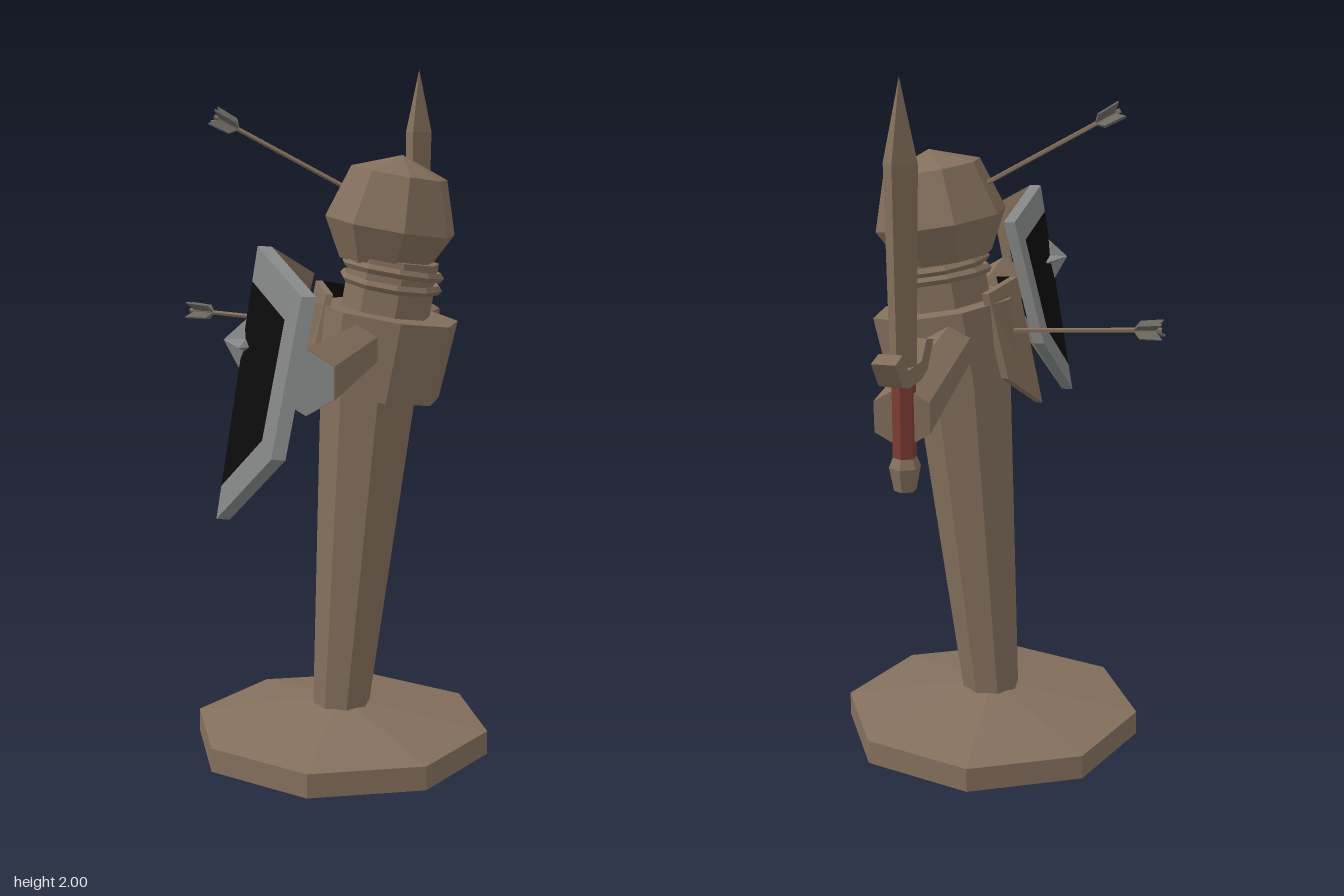
import * as THREE from 'three';

const V = (x, y, z) => new THREE.Vector3(x, y, z);
const TILT = -0.17;

function material(name, color) {
  const m = new THREE.MeshStandardMaterial({ color });
  m.name = name;
  return m;
}

// Faceted mesh
function flat(name, geometry, mat) {
  const g = geometry.index ? geometry.toNonIndexed() : geometry;
  g.computeVertexNormals();
  const mesh = new THREE.Mesh(g, mat);
  mesh.name = name;
  return mesh;
}

function lathe(name, points, sides, mat) {
  return flat(name, new THREE.LatheGeometry(points.map(p => new THREE.Vector2(...p)), sides), mat);
}

// Tapered prism between two points
function rod(name, a, b, ra, rb, sides, mat, spin = 0) {
  const g = new THREE.CylinderGeometry(rb, ra, a.distanceTo(b), sides);
  g.rotateY(spin);
  const mesh = flat(name, g, mat);
  mesh.position.copy(a).lerp(b, 0.5);
  mesh.quaternion.setFromUnitVectors(V(0, 1, 0), b.clone().sub(a).normalize());
  return mesh;
}

// Convex faces, each split into a fan
function polygons(name, faces, mat) {
  const pts = [];
  for (const f of faces)
    for (let i = 1; i < f.length - 1; i++) pts.push(f[0], f[i], f[i + 1]);
  return flat(name, new THREE.BufferGeometry().setFromPoints(pts), mat);
}

// Six-cornered plate folded along its upright middle, facing -x
function foldedPlate(name, outer, thick, inset, mats) {
  const group = new THREE.Group();
  group.name = name;
  const centre = outer[0].clone().lerp(outer[3], 0.5);
  const inner = outer.map(p => p.clone().lerp(centre, inset));
  const back = p => p.clone().add(V(thick, 0, 0));
  const backFace = f => f.map(back).reverse();
  const rim = [], edge = [];
  for (let i = 0; i < 6; i++) {
    const j = (i + 1) % 6;
    rim.push([outer[i], outer[j], inner[j], inner[i]]);
    edge.push([outer[j], outer[i], back(outer[i]), back(outer[j])]);
  }
  const panel = [[0, 1, 2, 3], [0, 3, 4, 5]].map(f => f.map(i => inner[i]));
  group.add(
    polygons(name + 'Rim', rim, mats.rim),
    polygons(name + 'Panel', panel, mats.panel),
    polygons(name + 'Edge', edge, mats.edge),
    polygons(name + 'BackRim', rim.map(backFace), mats.backRim),
    polygons(name + 'BackPanel', panel.map(backFace), mats.backPanel));
  return group;
}

function extruded(name, points, depth, mat) {
  const shape = new THREE.Shape(points.map(p => new THREE.Vector2(...p)));
  const g = new THREE.ExtrudeGeometry(shape, { depth, bevelEnabled: false });
  g.translate(0, 0, -depth / 2);
  return flat(name, g, mat);
}

// Arrow with two crossed feather plates at the tail
function arrow(tip, tail, wood, feather) {
  const group = new THREE.Group();
  group.name = 'arrow';
  const length = tip.distanceTo(tail);
  group.add(rod('arrowShaft', V(0, 0, 0), V(0, length, 0), 0.007, 0.007, 5, wood));
  const outline = [[0, -0.08], [0.028, -0.06], [0.032, 0.005], [0, -0.02], [-0.032, 0.005], [-0.028, -0.06]];
  for (let i = 0; i < 2; i++) {
    const f = extruded('arrowFeather', outline, 0.006, feather);
    f.position.y = length;
    f.rotation.y = Math.PI / 4 + i * Math.PI / 2;
    group.add(f);
  }
  group.position.copy(tip);
  group.quaternion.setFromUnitVectors(V(0, 1, 0), tail.clone().sub(tip).normalize());
  return group;
}

export function createModel() {
  const wood = material('wood', 0x846f5c);
  const iron = material('iron', 0x858787);
  const black = material('black', 0x0c0c0c);
  const red = material('red grip', 0x7c3b33);
  const feather = material('feather', 0x6b6862);
  const model = new THREE.Group();
  model.name = 'trainingDummy';

  // Hollow octagonal foot and leaning post
  const base = lathe('base', [[0.07, 0.115], [0.42, 0.055], [0.42, 0], [0.44, 0], [0.44, 0.07], [0.07, 0.135]], 8, wood);
  base.position.set(0.03, 0, -0.01);
  model.add(base);
  model.add(rod('post', V(0.03, 0.1, -0.005), V(0.115, 1.12, -0.005), 0.083, 0.143, 8, wood, Math.PI / 8));

  // Torso, neck and head
  const lean = V(-Math.sin(TILT), Math.cos(TILT), 0);
  const along = (p, d) => p.clone().addScaledVector(lean, d);
  const torso = V(0.14, 1.19, -0.01);
  model.add(rod('torso', along(torso, -0.115), along(torso, 0.115), 0.2, 0.215, 8, wood, Math.PI / 8));
  model.add(rod('neck', along(torso, 0.08), along(torso, 0.27), 0.13, 0.13, 8, wood, Math.PI / 8));
  for (const [d, roll] of [[0.2, 0.04], [0.235, -0.04]]) {
    const g = new THREE.TorusGeometry(0.135, 0.014, 5, 10);
    g.rotateX(Math.PI / 2);
    const rope = flat('neckRope', g, wood);
    rope.position.copy(along(torso, d));
    rope.rotation.set(roll, 0, TILT);
    model.add(rope);
  }
  const head = lathe('head', [[0, -0.16], [0.13, -0.14], [0.19, -0.03], [0.14, 0.12], [0, 0.17]], 8, wood);
  head.geometry.rotateY(Math.PI / 8);
  head.position.set(0.175, 1.575, -0.02);
  head.rotation.z = TILT;
  model.add(head);

  // Folded chest plate
  model.add(foldedPlate('chestPlate', [
    V(-0.045, 1.385, -0.01), V(0.015, 1.36, -0.14), V(-0.04, 1.12, -0.14),
    V(-0.12, 1.02, -0.01), V(-0.04, 1.12, 0.12), V(0.015, 1.36, 0.12),
  ], 0.02, 0.1, { rim: wood, panel: wood, edge: wood, backRim: black, backPanel: black }));

  // Arms, the shield arm capped with iron
  model.add(rod('shieldArm', V(0.115, 1.218, 0.1), V(0.115, 1.215, 0.785), 0.066, 0.083, 6, wood));
  model.add(rod('shieldArmCap', V(0.115, 1.215, 0.783), V(0.115, 1.215, 0.79), 0.08, 0.08, 6, iron));
  model.add(rod('swordArm', V(0.115, 1.217, -0.1), V(0.12, 1.185, -0.81), 0.066, 0.08, 6, wood));

  // Shield with a star spike
  model.add(foldedPlate('shield', [
    V(-0.01, 1.54, 0.76), V(0.04, 1.455, 0.52), V(-0.055, 1.07, 0.52),
    V(-0.12, 0.86, 0.765), V(0.07, 1.055, 0.95), V(0.145, 1.44, 0.95),
  ], 0.035, 0.25, { rim: iron, panel: black, edge: iron, backRim: wood, backPanel: black }));
  const spike = new THREE.Group();
  spike.name = 'shieldSpike';
  const star = [];
  for (let i = 0; i < 8; i++) {
    const r = i % 2 ? 0.022 : 0.075, a = i * Math.PI / 4;
    star.push(V(0, r * Math.cos(a), r * Math.sin(a)));
  }
  const faces = [];
  star.forEach((p, i) => {
    const q = star[(i + 1) % 8];
    faces.push([V(-0.06, 0, 0), p, q].reverse(), [V(0.03, 0, 0), p, q]);
  });
  spike.add(polygons('spikeStar', faces, iron));
  spike.position.set(-0.04, 1.3, 0.755);
  spike.rotation.z = TILT;
  model.add(spike);

  // Sword
  const sword = new THREE.Group();
  sword.name = 'sword';
  const blade = lathe('blade', [[0, 1.28], [0.048, 1.28], [0.062, 1.8], [0, 2]], 4, wood);
  blade.scale.x = 0.7;
  const half = [[0.045, 1.27], [0.095, 1.285], [0.145, 1.35], [0.09, 1.362], [0.05, 1.315]];
  const guard = extruded('guard', [...half, ...half.map(([x, y]) => [-x, y]).reverse()], 0.06, wood);
  guard.rotation.y = Math.PI / 2;
  const grip = rod('grip', V(0, 1.06, 0), V(0, 1.28, 0), 0.03, 0.03, 6, red);
  const pommel = lathe('pommel', [[0, 1], [0.028, 1], [0.04, 1.06], [0.03, 1.085], [0, 1.085]], 6, wood);
  sword.add(blade, guard, grip, pommel);
  sword.position.set(0.115, 0, -0.805);
  sword.rotation.y = -0.12;
  model.add(sword);

  // Arrows stuck in head and chest
  model.add(arrow(V(0.06, 1.64, -0.025), V(-0.325, 1.85, 0.05), wood, feather));
  model.add(arrow(V(-0.05, 1.25, -0.1), V(-0.465, 1.275, -0.145), wood, feather));

  return model;
}
